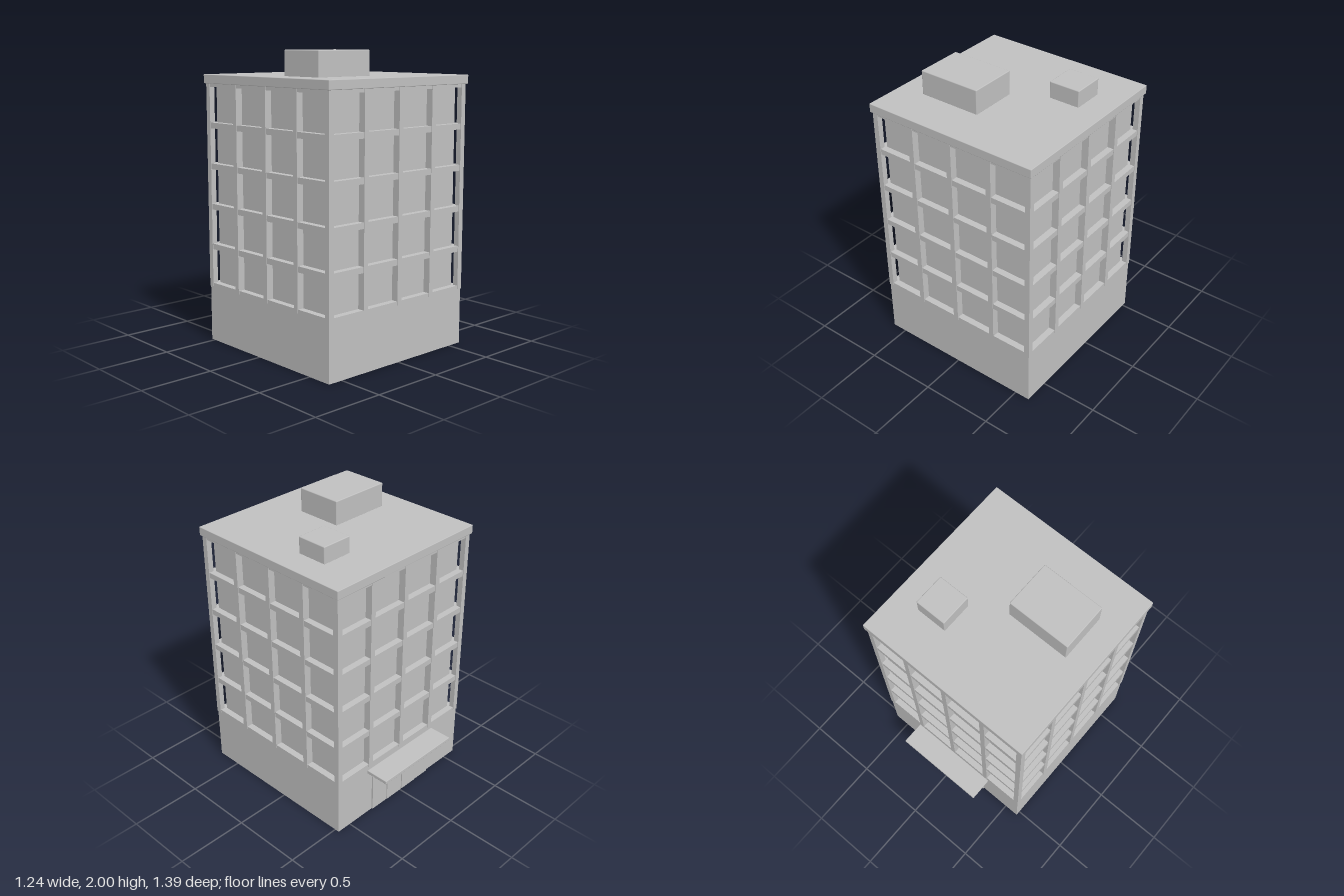
import * as THREE from 'three';
import { RoundedBoxGeometry } from 'three/addons/geometries/RoundedBoxGeometry.js';

export function createModel() {
  const model = new THREE.Group();
  model.name = 'officeBuilding';
  const concrete = new THREE.MeshStandardMaterial({ color: 0xbfbfbf });
  concrete.name = 'concrete grey';

  // Box given by its minimum and maximum on each axis; radius softens the edges
  function box(name, parent, [x0, x1], [y0, y1], [z0, z1], radius = 0) {
    const size = [x1 - x0, y1 - y0, z1 - z0];
    const geometry = radius
      ? new RoundedBoxGeometry(...size, 2, radius)
      : new THREE.BoxGeometry(...size);
    const mesh = new THREE.Mesh(geometry, concrete);
    mesh.name = name;
    mesh.position.set((x0 + x1) / 2, (y0 + y1) / 2, (z0 + z1) / 2);
    parent.add(mesh);
    return mesh;
  }

  // Tower, centred on its own axis and set forward to leave room for the canopy
  const tower = new THREE.Group();
  tower.name = 'tower';
  tower.position.z = 0.074;
  model.add(tower);

  const half = 0.606;    // outer face of walls and floor bands
  const glass = 0.561;   // recessed window plane
  const pier = 0.61;     // outer face of piers
  const roofY = 1.775;

  box('groundFloor', tower, [-half, half], [0, 0.39], [-half, half]);
  box('windowCore', tower, [-glass, glass], [0.39, roofY], [-glass, glass]);
  box('roofSlab', tower, [-0.622, 0.622], [roofY, 1.835], [-0.622, 0.622], 0.004);

  // Floor bands wrap the whole tower between the rows of windows
  const pitch = 0.2765;
  for (let i = 0; i <= 5; i++) {
    const bottom = i === 0 ? 0.389 : 0.37 + i * pitch;
    const top = i === 5 ? roofY : 0.409 + i * pitch;
    box('floorBand', tower, [-half, half], [bottom, top], [-half, half]);
  }

  // Corner piers
  for (const sx of [-1, 1]) {
    for (const sz of [-1, 1]) {
      const span = (s) => (s > 0 ? [0.572, pier] : [-pier, -0.572]);
      box('cornerPier', tower, span(sx), [0.385, roofY], span(sz));
    }
  }

  // Three intermediate piers on each of the four faces
  for (let side = 0; side < 4; side++) {
    const facade = new THREE.Group();
    facade.name = 'facadePiers';
    facade.rotation.y = side * Math.PI / 2;
    tower.add(facade);
    for (const x of [-0.302, 0, 0.302]) {
      box('pier', facade, [x - 0.018, x + 0.018], [0.385, roofY], [0.55, pier]);
    }
  }

  // Rooftop plant rooms
  box('largeRoofUnit', model, [-0.44, -0.003], [1.83, 2], [0.075, 0.403], 0.006);
  box('smallRoofUnit', model, [0.22, 0.438], [1.83, 1.948], [-0.258, -0.04], 0.006);

  // Rear entrance: canopy, surround and doors
  const entrance = new THREE.Group();
  entrance.name = 'rearEntrance';
  model.add(entrance);
  box('canopy', entrance, [-0.33, 0.33], [0.335, 0.36], [-0.697, -0.53], 0.004);
  box('doorSurround', entrance, [-0.285, 0.285], [0.004, 0.285], [-0.543, -0.525]);
  for (const s of [-1, 1]) {
    const inner = s * 0.008, outer = s * 0.145;
    box('doorLeaf', entrance, [Math.min(inner, outer), Math.max(inner, outer)],
      [0.01, 0.245], [-0.55, -0.54]);
  }
  return model;
}
